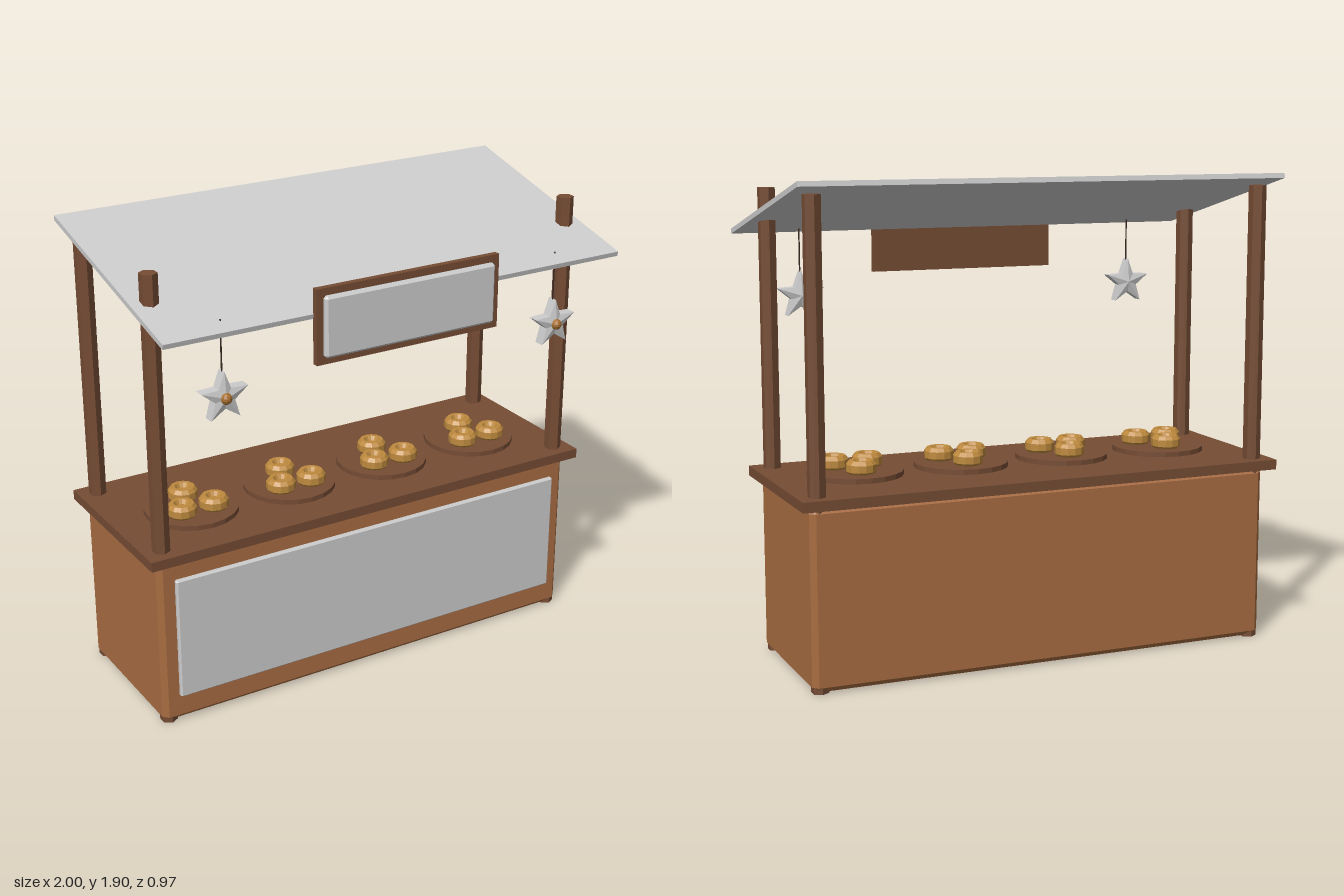
import * as THREE from 'three';
import { ConvexGeometry } from 'three/addons/geometries/ConvexGeometry.js';

const material = (name, color) => Object.assign(new THREE.MeshStandardMaterial({ color }), { name });

// Split shared corners so every face is flat
function faceted(geometry) {
  const g = geometry.index ? geometry.toNonIndexed() : geometry;
  g.computeVertexNormals();
  return g;
}

// Box with every edge cut off by c
function chamferBox(w, h, d, c) {
  const points = [];
  for (const sx of [-1, 1]) for (const sy of [-1, 1]) for (const sz of [-1, 1]) {
    for (let axis = 0; axis < 3; axis++) {
      const inset = [c, c, c];
      inset[axis] = 0;
      points.push(new THREE.Vector3(
        sx * (w / 2 - inset[0]), sy * (h / 2 - inset[1]), sz * (d / 2 - inset[2])));
    }
  }
  return new ConvexGeometry(points);
}

// Thick five-pointed star with a raised centre on both faces
function starGeometry(outer, inner, edge, apex) {
  const rim = [];
  for (let i = 0; i < 10; i++) {
    const a = Math.PI / 2 + i * Math.PI / 5;
    const r = i % 2 ? inner : outer;
    rim.push([Math.cos(a) * r, Math.sin(a) * r]);
  }
  const v = [];
  rim.forEach((p, i) => {
    const q = rim[(i + 1) % 10];
    v.push(0, 0, apex, ...p, edge, ...q, edge);
    v.push(0, 0, -apex, ...q, -edge, ...p, -edge);
    v.push(...p, edge, ...p, -edge, ...q, -edge);
    v.push(...p, edge, ...q, -edge, ...q, edge);
  });
  const g = new THREE.BufferGeometry();
  g.setAttribute('position', new THREE.Float32BufferAttribute(v, 3));
  return faceted(g);
}

export function createModel() {
  const root = new THREE.Group();
  root.name = 'marketStall';

  const darkWood = material('darkWood', 0x754c34);
  const wood = material('wood', 0xa86c41);
  const grey = material('paleGrey', 0xcccccc);
  const gold = material('goldenCrust', 0xbe8a3e);
  const bead = material('amber', 0xa87030);
  const cord = material('cord', 0x3a2a22);

  function add(parent, name, geometry, mat, x = 0, y = 0, z = 0) {
    const mesh = new THREE.Mesh(geometry, mat);
    mesh.name = name;
    mesh.position.set(x, y, z);
    parent.add(mesh);
    return mesh;
  }

  // Counter with its top and front panel
  add(root, 'counterBody', chamferBox(1.92, 0.706, 0.66, 0.021), wood, 0, 0.358, -0.11);
  add(root, 'counterTop', new THREE.BoxGeometry(2, 0.04, 0.735), darkWood, 0, 0.728, -0.11);
  add(root, 'frontPanel', chamferBox(1.785, 0.515, 0.024, 0.006), grey, 0, 0.373, 0.229);

  // Six-sided corner posts
  const postGeometry = faceted(new THREE.CylinderGeometry(0.035, 0.035, 1.855, 6));
  for (const x of [-0.925, 0.925]) for (const z of [0.184, -0.405]) {
    add(root, z > 0 ? 'frontPost' : 'backPost', postGeometry, darkWood, x, 0.9275, z);
  }

  // Sloping roof
  const roof = add(root, 'roof', new THREE.BoxGeometry(2, 0.02, 0.952), grey, 0, 1.783, -0.021);
  roof.rotation.x = 0.237;

  // Hanging sign
  add(root, 'signBoard', new THREE.BoxGeometry(0.8, 0.293, 0.026), darkWood, 0, 1.633, 0.452);
  add(root, 'signPanel', chamferBox(0.746, 0.238, 0.03, 0.01), grey, 0, 1.633, 0.472);

  // Star ornaments on cords
  const star = starGeometry(0.1, 0.042, 0.022, 0.034);
  const beadGeometry = faceted(new THREE.SphereGeometry(0.022, 10, 7));
  const cordGeometry = new THREE.CylinderGeometry(0.003, 0.003, 0.2, 6);
  for (const x of [-0.74, 0.74]) {
    const ornament = new THREE.Group();
    ornament.name = 'starOrnament';
    ornament.position.set(x, 1.41, 0.371);
    add(ornament, 'star', star, grey);
    add(ornament, 'starBead', beadGeometry, bead, 0, 0, 0.031);
    add(ornament, 'cord', cordGeometry, cord, 0, 0.193, 0);
    root.add(ornament);
  }

  // Plates, each holding three ring buns
  const plateGeometry = faceted(new THREE.CylinderGeometry(0.19, 0.19, 0.02, 20));
  const profile = [[0, 0], [0.052, 0], [0.06, 0.01], [0.06, 0.038], [0.048, 0.053],
    [0.032, 0.053], [0.022, 0.036], [0, 0.036]].map(([r, y]) => new THREE.Vector2(r, y));
  const bunGeometry = faceted(new THREE.LatheGeometry(profile, 12));
  for (let i = 0; i < 4; i++) {
    const serving = new THREE.Group();
    serving.name = 'serving';
    serving.position.set(-0.668 + i * 0.444, 0.748, -0.073);
    add(serving, 'plate', plateGeometry, darkWood, 0, 0.01, 0);
    for (const [x, z] of [[-0.07, 0.06], [0.07, 0.06], [0, -0.075]]) {
      add(serving, 'bun', bunGeometry, gold, x, 0.019, z);
    }
    root.add(serving);
  }

  return root;
}
